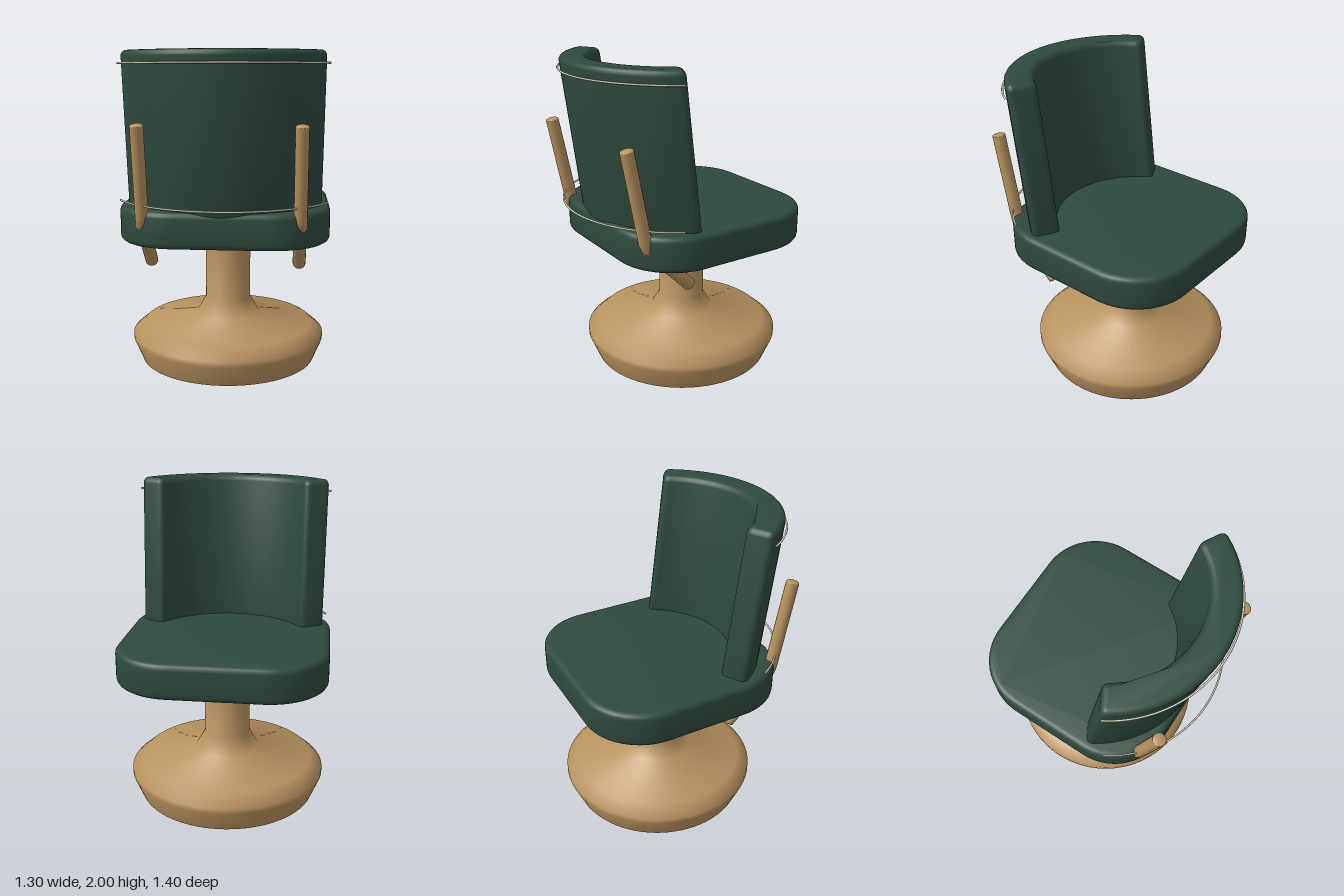
import * as THREE from 'three';
import { toCreasedNormals } from 'three/addons/utils/BufferGeometryUtils.js';

const green = new THREE.MeshStandardMaterial({ color: 0x2f4a3f });
const wood = new THREE.MeshStandardMaterial({ color: 0xb8935f });
const cream = new THREE.MeshStandardMaterial({ color: 0xd8cfbd });

const CENTER_Z = -0.067; // middle of the seat and pedestal

// Padded slab: a plan outline (x, z) extruded between two heights with soft edges
function padded(shape, bottom, top, bevel, curveSegments) {
  const g = new THREE.ExtrudeGeometry(shape, {
    depth: top - bottom - 2 * bevel, curveSegments,
    bevelThickness: bevel, bevelSize: bevel, bevelOffset: -bevel, bevelSegments: 4,
  });
  g.rotateX(Math.PI / 2);
  g.translate(0, top - bevel, 0);
  return g;
}

function addMesh(parent, name, geometry, material) {
  const mesh = new THREE.Mesh(geometry, material);
  mesh.name = name;
  parent.add(mesh);
  return mesh;
}

// Rounded square seat cushion
function seatGeometry() {
  const w = 0.65, d = 0.63, r = 0.37, s = new THREE.Shape();
  s.absarc(w - r, d - r, r, 0, Math.PI / 2);
  s.absarc(r - w, d - r, r, Math.PI / 2, Math.PI);
  s.absarc(r - w, r - d, r, Math.PI, Math.PI * 1.5);
  s.absarc(w - r, r - d, r, Math.PI * 1.5, Math.PI * 2);
  s.closePath();
  const g = padded(s, 0.85, 1.07, 0.035, 8);
  g.translate(0, 0, CENTER_Z);
  return toCreasedNormals(g, 0.6);
}

// Curved backrest: a thick arc with rounded ends, leaning outward
function backGeometry() {
  const outer = 0.707, inner = 0.533, cz = -0.02, round = 0.045;
  const a0 = THREE.MathUtils.degToRad(29), a1 = Math.PI - a0;
  const at = (r, a) => [r * Math.cos(a), cz + r * Math.sin(a)];
  const dO = round / outer, dI = round / inner;
  const s = new THREE.Shape();
  s.absarc(0, cz, outer, a0 + dO, a1 - dO, false);
  s.quadraticCurveTo(...at(outer, a1), ...at(outer - round, a1));
  s.lineTo(...at(inner + round, a1));
  s.quadraticCurveTo(...at(inner, a1), ...at(inner, a1 - dI));
  s.absarc(0, cz, inner, a1 - dI, a0 + dI, true);
  s.quadraticCurveTo(...at(inner, a0), ...at(inner + round, a0));
  s.lineTo(...at(outer - round, a0));
  s.quadraticCurveTo(...at(outer, a0), ...at(outer, a0 + dO));
  const g = padded(s, 1.02, 2, 0.035, 20);
  const p = g.attributes.position;
  for (let i = 0; i < p.count; i++) {
    const drop = 2 - p.getY(i);
    p.setX(i, p.getX(i) * (1 - 0.014 * drop));
    p.setZ(i, p.getZ(i) - 0.13 * drop);
  }
  return toCreasedNormals(g, 0.6);
}

// Bent wooden rod with softly domed ends
function makeRod(x, name) {
  const v = (y, z) => new THREE.Vector3(x, y, z);
  const top = v(1.575, 0.603), bend = v(0.99, 0.487), end = v(0.695, 0.19);
  const upper = bend.clone().lerp(top, 0.08), lower = bend.clone().lerp(end, 0.12);
  const path = new THREE.CurvePath();
  path.add(new THREE.LineCurve3(top, upper));
  path.add(new THREE.QuadraticBezierCurve3(upper, bend, lower));
  path.add(new THREE.LineCurve3(lower, end));
  const rod = new THREE.Group();
  rod.name = name;
  addMesh(rod, 'rodShaft', new THREE.TubeGeometry(path, 60, 0.04, 16), wood);
  for (const [tip, from] of [[top, upper], [end, lower]]) {
    const cap = addMesh(rod, 'rodCap',
      new THREE.SphereGeometry(0.04, 16, 6, 0, Math.PI * 2, 0, Math.PI / 2), wood);
    cap.scale.y = 0.3;
    cap.position.copy(tip);
    cap.quaternion.setFromUnitVectors(new THREE.Vector3(0, 1, 0), tip.clone().sub(from).normalize());
  }
  return rod;
}

// Thin trim wire following the outside of the backrest
function wireGeometry(y) {
  const pts = [];
  for (let i = 0; i <= 24; i++) {
    const a = THREE.MathUtils.degToRad(-60 + 5 * i);
    pts.push(new THREE.Vector3(0.7225 * Math.sin(a), y, -0.03 + 0.7225 * Math.cos(a)));
  }
  return new THREE.TubeGeometry(new THREE.CatmullRomCurve3(pts), 64, 0.006, 8);
}

export function createModel() {
  const chair = new THREE.Group();
  chair.name = 'swivelChair';

  // Turned pedestal: wide foot, column and flared top
  const profile = [
    [0, 0], [0.572, 0], [0.63, 0.14], [0.63, 0.172], [0.552, 0.238], [0.205, 0.298],
    [0.147, 0.4], [0.147, 0.83], [0.22, 0.85], [0, 0.85],
  ].map(([r, y]) => new THREE.Vector2(r, y));
  const pedestal = toCreasedNormals(new THREE.LatheGeometry(profile, 64), 0.95);
  addMesh(chair, 'pedestal', pedestal, wood).position.z = CENTER_Z;

  addMesh(chair, 'seat', seatGeometry(), green);
  addMesh(chair, 'backrest', backGeometry(), green);

  chair.add(makeRod(0.465, 'leftRod'), makeRod(-0.465, 'rightRod'));

  addMesh(chair, 'upperTrim', wireGeometry(1.925), cream);
  addMesh(chair, 'lowerTrim', wireGeometry(1.105), cream);
  return chair;
}
